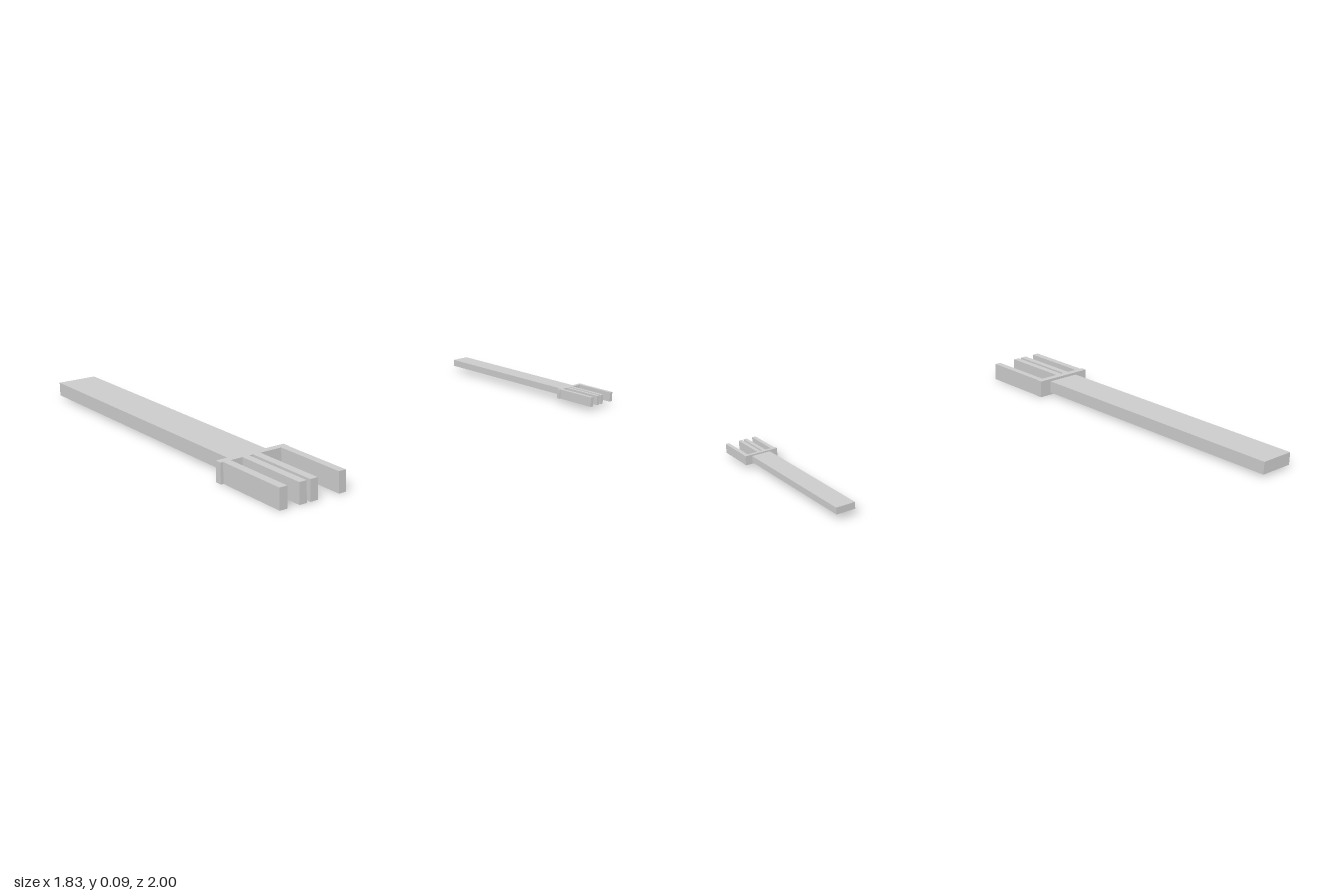
import * as THREE from 'three';

const material = new THREE.MeshStandardMaterial({ color: 0xcccccc, flatShading: true });

// Box given by its lower and upper limits on each axis
function block(name, [x0, x1], [y0, y1], [z0, z1]) {
  const mesh = new THREE.Mesh(new THREE.BoxGeometry(x1 - x0, y1 - y0, z1 - z0), material);
  mesh.position.set((x0 + x1) / 2, (y0 + y1) / 2, (z0 + z1) / 2);
  mesh.name = name;
  return mesh;
}

// Fork: flat handle, crossbar and four unevenly spaced prongs
function createFork(name) {
  const fork = new THREE.Group();
  fork.name = name;
  const headY = [0, 0.088];
  fork.add(block('handle', [-0.914, 0.524], [0.013, 0.075], [0.745, 0.926]));
  fork.add(block('crossbar', [0.524, 0.556], headY, [0.679, 1]));
  const prongs = [[0.682, 0.715], [0.815, 0.849], [0.866, 0.899], [0.953, 0.988]];
  prongs.forEach((z, i) => fork.add(block(`prong${i + 1}`, [0.556, 0.912], headY, z)));
  return fork;
}

export function createModel() {
  const model = new THREE.Group();
  model.name = 'forkPair';
  model.add(createFork('largeFork'));

  // Half-size copy behind, level with the middle of the large one
  const small = createFork('smallFork');
  small.scale.setScalar(0.5);
  small.position.set(0.363, 0.022, -1.34);
  model.add(small);
  return model;
}
